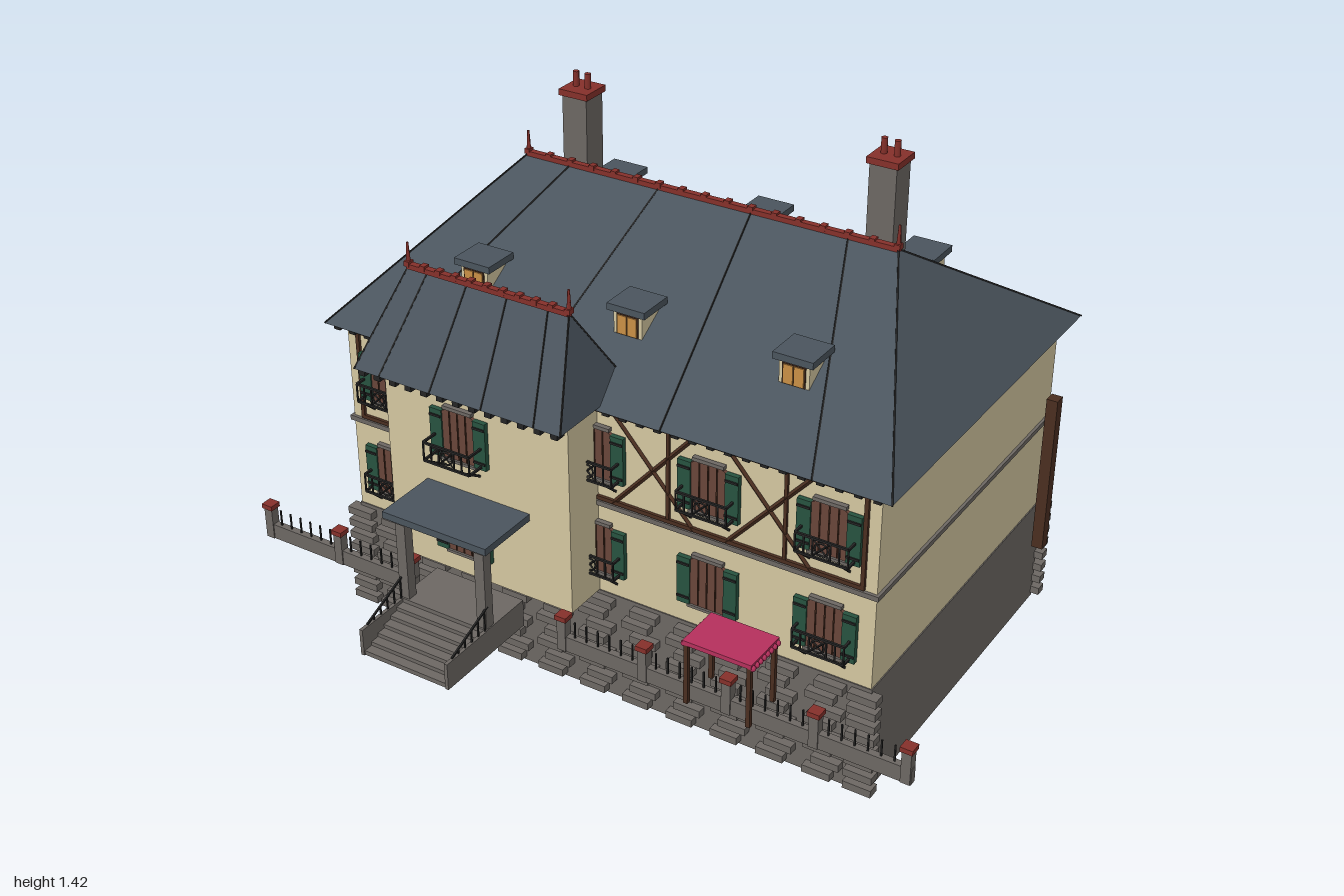
import * as THREE from 'three';
import { ConvexGeometry } from 'three/addons/geometries/ConvexGeometry.js';

const mat = (name, color) => Object.assign(new THREE.MeshStandardMaterial({ color }), { name });
const M = {
  plaster: mat('plaster', 0xd3c6a0), stone: mat('stone', 0x6c6763), slate: mat('slate', 0x4a545d),
  brick: mat('brick', 0x85302a), timber: mat('timber', 0x4a2e20), green: mat('shutterGreen', 0x27523f),
  wood: mat('windowWood', 0x68453a), iron: mat('iron', 0x242424), pink: mat('awningPink', 0xb5305c),
  amber: mat('amberGlass', 0xc98f45),
};
const V = (x, y, z) => new THREE.Vector3(x, y, z);

function add(parent, name, geo, material, x = 0, y = 0, z = 0) {
  const m = new THREE.Mesh(geo, material);
  m.name = name;
  m.position.set(x, y, z);
  parent.add(m);
  return m;
}
// box given by its extents
function box(parent, name, material, x0, x1, y0, y1, z0, z1) {
  return add(parent, name, new THREE.BoxGeometry(x1 - x0, y1 - y0, z1 - z0), material,
    (x0 + x1) / 2, (y0 + y1) / 2, (z0 + z1) / 2);
}
// square bar between two points
function bar(parent, name, material, a, b, t = 0.005) {
  const m = add(parent, name, new THREE.BoxGeometry(t, t, a.distanceTo(b)), material);
  m.position.copy(a).add(b).multiplyScalar(0.5);
  m.quaternion.setFromUnitVectors(V(0, 0, 1), b.clone().sub(a).normalize());
  return m;
}
function group(parent, name) {
  const g = new THREE.Group();
  g.name = name;
  parent.add(g);
  return g;
}

// hipped roof with seams, ridge tiles and finials
function hipRoof(parent, name, cx, hx, rx, z0, z1, y0, zr, yr, tiles) {
  const g = group(parent, name);
  const pts = [];
  for (const s of [-1, 1]) pts.push(V(cx + s * hx, y0, z0), V(cx + s * hx, y0, z1), V(cx + s * rx, yr, zr));
  add(g, 'roofSlopes', new ConvexGeometry(pts), M.slate);
  for (const f of [-0.75, -0.25, 0.25, 0.75])
    for (const z of [z0, z1]) bar(g, 'roofSeam', M.iron, V(cx + f * hx, y0, z), V(cx + f * rx, yr, zr), 0.004);
  for (const s of [-1, 1]) {
    for (const z of [z0, z1]) bar(g, 'hipSeam', M.iron, V(cx + s * hx, y0, z), V(cx + s * rx, yr, zr), 0.004);
    add(g, 'finial', new THREE.CylinderGeometry(0.003, 0.007, 0.07, 6), M.brick, cx + s * rx, yr + 0.03, zr);
  }
  box(g, 'ridge', M.brick, cx - rx, cx + rx, yr - 0.006, yr + 0.008, zr - 0.009, zr + 0.009);
  for (let i = 0; i <= tiles; i++) {
    const x = cx - rx + (2 * rx * i) / tiles;
    box(g, 'ridgeTile', M.brick, x - 0.008, x + 0.008, yr, yr + 0.014, zr - 0.01, zr + 0.01);
  }
}

function balcony(g, d) {
  const b = group(g, 'balcony');
  const w = 0.072, lo = -0.065, hi = -0.012;
  for (const y of [lo, hi]) {
    bar(b, 'rail', M.iron, V(-w, y, d), V(w, y, d), 0.006);
    for (const s of [-w, w]) bar(b, 'sideRail', M.iron, V(s, y, 0), V(s, y, d), 0.006);
  }
  for (let i = 0; i <= 6; i++) {
    const x = -w + (i * w) / 3;
    if (i !== 3) bar(b, 'baluster', M.iron, V(x, lo, d), V(x, hi, d), 0.004);
  }
  add(b, 'ornament', new THREE.TorusGeometry(0.018, 0.003, 4, 12), M.iron, 0, -0.038, d);
  for (const s of [-1, 1]) {
    bar(b, 'ornamentBar', M.iron, V(-0.02, -0.038 - s * 0.02, d), V(0.02, -0.038 + s * 0.02, d), 0.004);
    bar(b, 'bracket', M.iron, V(s * 0.055, -0.105, 0), V(s * 0.055, lo, d), 0.006);
  }
}
// shuttered window, local origin at its centre on the wall
function shutteredWindow(parent, x, y, z, back, rail) {
  const g = group(parent, 'window');
  g.position.set(x, y, z);
  if (back) g.rotation.y = Math.PI;
  const s = new THREE.Shape([[-0.049, -0.073], [0.049, -0.073], [0.049, 0.062], [0.03, 0.072], [-0.03, 0.072], [-0.049, 0.062]]
    .map(p => new THREE.Vector2(...p)));
  add(g, 'casement', new THREE.ExtrudeGeometry(s, { depth: 0.01, bevelEnabled: false }), M.wood);
  box(g, 'lintel', M.stone, -0.045, 0.045, 0.07, 0.08, 0, 0.014);
  box(g, 'sill', M.stone, -0.055, 0.055, -0.081, -0.073, 0, 0.016);
  for (const dx of [-0.025, 0, 0.025]) box(g, 'glazingBar', M.timber, dx - 0.0015, dx + 0.0015, -0.07, 0.066, 0.01, 0.013);
  for (const k of [-1, 1]) {
    const c = k * 0.068;
    box(g, 'shutter', M.green, c - 0.019, c + 0.019, -0.075, 0.063, 0, 0.014);
    for (const dy of [-0.055, 0.045]) box(g, 'hinge', M.iron, c - 0.018, c + 0.018, dy - 0.003, dy + 0.003, 0.014, 0.018);
  }
  if (rail) balcony(g, rail);
}

function timberFrame(parent, z) {
  const g = group(parent, 'timberFrame');
  const lo = 0.61, hi = 0.88, t = 0.011;
  for (const y of [lo + 0.005, hi - 0.006]) bar(g, 'beam', M.timber, V(-0.765, y, z), V(0.765, y, z), t);
  for (const s of [-0.76, 0.76]) bar(g, 'endPost', M.timber, V(s, lo, z), V(s, hi, z), t);
  for (const c of [-0.5, -0.167, 0.167, 0.5]) {
    for (const s of [-1, 1]) bar(g, 'brace', M.timber, V(c - s * 0.12, lo, z), V(c + s * 0.12, hi, z), 0.009);
    bar(g, 'post', M.timber, V(c + Math.sign(c) * 0.045, lo, z), V(c + Math.sign(c) * 0.045, hi, z), 0.009);
  }
}

export function createModel() {
  const root = new THREE.Group();
  root.name = 'house';
  const ZF = 0.3, ZB = -0.726, cols = [-0.667, -0.333, 0, 0.333, 0.667];

  // main body
  box(root, 'stoneBase', M.stone, -0.8, 0.8, 0, 0.325, ZB, ZF);
  box(root, 'walls', M.plaster, -0.797, 0.797, 0.325, 0.9, ZB + 0.003, ZF - 0.003);
  box(root, 'floorBand', M.stone, -0.805, 0.805, 0.592, 0.606, ZB - 0.006, ZF + 0.006);
  box(root, 'cornice', M.timber, -0.806, 0.806, 0.88, 0.896, ZB - 0.008, ZF + 0.008);
  box(root, 'bay', M.plaster, -0.57, 0, 0.325, 0.9, 0.2, 0.425);

  // projecting stones on the base
  const stones = group(root, 'baseStones');
  for (let r = 0; r < 8; r++) {
    const y = 0.012 + r * 0.04, o = r % 2 ? 0.012 : -0.012;
    for (const [z0, z1] of [[ZF - 0.01, ZF + 0.025], [ZB - 0.022, ZB + 0.01]]) {
      for (let i = 0; i < 11; i++) {
        const x = -0.68 + i * 0.136 + o;
        box(stones, 'stone', M.stone, x - 0.04, x + 0.04, y, y + 0.022, z0, z1);
      }
      for (const s of [-1, 1])
        box(stones, 'quoin', M.stone, s * 0.785 - 0.04, s * 0.785 + 0.04, y, y + 0.022, z0, z1);
    }
  }

  // roofs and eave brackets
  hipRoof(root, 'mainRoof', 0, 0.84, 0.555, -0.772, 0.338, 0.893, -0.215, 1.245, 16);
  hipRoof(root, 'bayRoof', -0.288, 0.318, 0.245, 0.19, 0.5, 0.9, 0.345, 1.147, 10);
  const eaves = group(root, 'eaveBrackets');
  for (let i = 0; i < 33; i++) {
    const x = -0.8 + i * 0.05;
    box(eaves, 'bracket', M.iron, x - 0.01, x + 0.01, 0.883, 0.893, ZF, 0.335);
    box(eaves, 'bracket', M.iron, x - 0.01, x + 0.01, 0.883, 0.893, -0.768, ZB);
  }
  for (let i = 0; i < 13; i++) {
    const x = -0.585 + i * 0.0495;
    box(eaves, 'bayBracket', M.iron, x - 0.01, x + 0.01, 0.884, 0.9, 0.465, 0.497);
  }

  // dormers
  for (const x of [-0.475, 0, 0.475])
    for (const back of [false, true]) {
      const d = group(root, 'dormer');
      d.position.set(x, 0, back ? -0.54 : 0.11);
      if (back) d.rotation.y = Math.PI;
      box(d, 'dormerRoof', M.slate, -0.056, 0.056, 1.075, 1.094, -0.054, 0.054);
      box(d, 'dormerBody', M.plaster, -0.042, 0.042, 0.995, 1.075, -0.045, 0.043);
      box(d, 'dormerFrame', M.timber, -0.032, 0.032, 1.012, 1.068, 0.04, 0.046);
      for (const s of [-1, 1]) box(d, 'dormerPane', M.amber, s * 0.015 - 0.0135, s * 0.015 + 0.0135, 1.014, 1.066, 0.046, 0.049);
    }

  // chimneys
  for (const [x, z] of [[-0.508, -0.405], [0.41, -0.442]]) {
    const c = group(root, 'chimney');
    c.position.set(x, 0, z);
    box(c, 'stack', M.stone, -0.039, 0.039, 1.0, 1.365, -0.039, 0.039);
    box(c, 'cap', M.brick, -0.046, 0.046, 1.362, 1.38, -0.046, 0.046);
    for (const s of [-1, 1]) add(c, 'pot', new THREE.CylinderGeometry(0.009, 0.009, 0.045, 8), M.brick, s * 0.019, 1.4, 0);
  }

  // windows
  for (const x of cols) {
    shutteredWindow(root, x, 0.753, ZB, true, 0.042);
    shutteredWindow(root, x, 0.468, ZB, true, 0);
    if (x === -0.333) continue;
    shutteredWindow(root, x, 0.753, ZF, false, 0.045);
    shutteredWindow(root, x, 0.468, ZF, false, x === 0.333 ? 0 : 0.042);
  }
  shutteredWindow(root, -0.333, 0.753, 0.425, false, 0.064);
  shutteredWindow(root, -0.333, 0.468, 0.425, false, 0);
  timberFrame(root, ZF);
  timberFrame(root, ZB);

  // side posts
  for (const s of [-1, 1]) box(root, 'sidePost', M.timber, s * 0.825 - 0.016, s * 0.825 + 0.016, 0.205, 0.68, -0.697, -0.662);

  // portico and stairs
  const p = group(root, 'portico');
  box(p, 'porticoRoof', M.slate, -0.45, -0.125, 0.565, 0.585, 0.425, 0.615);
  box(p, 'landing', M.stone, -0.425, -0.145, 0.24, 0.32, 0.44, 0.6);
  for (let i = 0; i < 6; i++) box(p, 'step', M.stone, -0.415, -0.155, 0.24, 0.308 - i * 0.011, 0.6 + i * 0.027, 0.627 + i * 0.027);
  for (const x of [-0.42, -0.15]) {
    box(p, 'cheekWall', M.stone, x - 0.005, x + 0.005, 0.24, 0.318, 0.6, 0.766);
    bar(p, 'handrail', M.iron, V(x, 0.32, 0.74), V(x, 0.385, 0.585));
    for (let i = 0; i < 5; i++) bar(p, 'baluster', M.iron, V(x, 0.31, 0.6 + i * 0.028), V(x, 0.379 - i * 0.0118, 0.6 + i * 0.028), 0.004);
  }
  for (const x of [-0.412, -0.163]) {
    box(p, 'column', M.stone, x - 0.015, x + 0.015, 0.32, 0.565, 0.565, 0.595);
    box(p, 'capital', M.stone, x - 0.02, x + 0.02, 0.55, 0.565, 0.56, 0.6);
  }

  // garden wall with railings
  const f = group(root, 'gardenWall');
  for (const xs of [[-0.983, -0.737, -0.49], [0, 0.245, 0.49, 0.735, 0.983]]) {
    box(f, 'wall', M.stone, xs[0] - 0.015, xs[xs.length - 1] + 0.015, 0.24, 0.285, 0.455, 0.475);
    xs.forEach((x, i) => {
      box(f, 'pillar', M.stone, x - 0.013, x + 0.013, 0.24, 0.333, 0.452, 0.478);
      box(f, 'pillarCap', M.brick, x - 0.017, x + 0.017, 0.333, 0.347, 0.448, 0.482);
      if (i === 0) return;
      for (let k = 1; k < 7; k++) {
        const bx = xs[i - 1] + ((x - xs[i - 1]) * k) / 7;
        bar(f, 'railingBar', M.iron, V(bx, 0.285, 0.465), V(bx, 0.333, 0.465), 0.004);
      }
    });
  }

  // scalloped awning on four legs
  const a = group(root, 'awning');
  box(a, 'canopy', M.pink, 0.378, 0.573, 0.422, 0.435, 0.362, 0.5);
  for (let i = 0; i < 8; i++)
    for (const x of [0.378, 0.573])
      add(a, 'scallop', new THREE.SphereGeometry(0.0085, 8, 6), M.pink, x, 0.422, 0.371 + i * 0.0172);
  for (const x of [0.388, 0.566]) for (const z of [0.374, 0.494]) box(a, 'leg', M.timber, x - 0.006, x + 0.006, 0.245, 0.425, z - 0.006, z + 0.006);
  return root;
}
